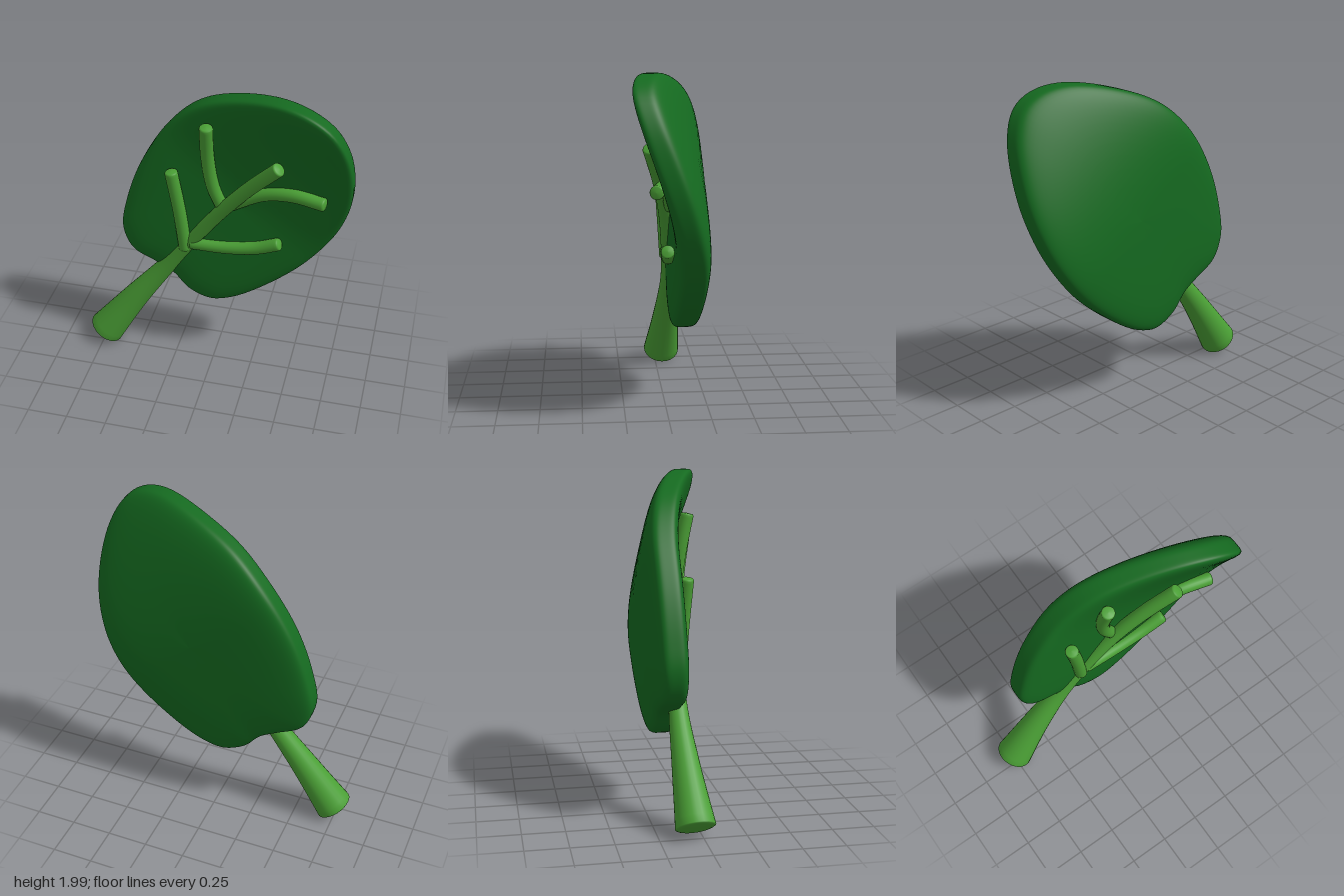
import * as THREE from 'three';

const leafMaterial = new THREE.MeshStandardMaterial({ color: 0x156a20 });
const stemMaterial = new THREE.MeshStandardMaterial({ color: 0x4a9f35 });

// Skin a row of closed rings with smooth normals
function loft(rings) {
  const n = rings[0].length;
  const index = [];
  for (let i = 0; i < rings.length - 1; i++) {
    for (let j = 0; j < n; j++) {
      const k = (j + 1) % n;
      const a = i * n + j, b = a + n, c = (i + 1) * n + k, d = i * n + k;
      index.push(a, b, c, a, c, d);
    }
  }
  const geometry = new THREE.BufferGeometry().setFromPoints(rings.flat());
  geometry.setIndex(index);
  geometry.computeVertexNormals();
  return geometry;
}

// Forward curl of the leaf: strong towards the tip, faint towards the foot
function curl(x, y) {
  const s = 0.62 * x + 0.78 * y - 1;
  return -0.14 + (s > 0 ? 0.35 : 0.03) * s * s;
}

function leafGeometry() {
  const outline = new THREE.CatmullRomCurve3([
    [-0.04, 0.43], [0.1, 0.46], [0.3, 0.58], [0.56, 0.81], [0.73, 1.06],
    [0.81, 1.3], [0.825, 1.52], [0.79, 1.74], [0.71, 1.89], [0.59, 1.97], [0.42, 2.0],
    [0.15, 1.95], [-0.1, 1.84], [-0.3, 1.65], [-0.47, 1.38], [-0.57, 1.1],
    [-0.6, 0.9], [-0.54, 0.75], [-0.4, 0.67], [-0.28, 0.6], [-0.18, 0.49],
  ].map(([x, y]) => new THREE.Vector3(x, y, 0)), true).getSpacedPoints(120).slice(0, 120);
  const cx = 0.15, cy = 1.2;

  // Pillow-shaped cross-section, front centre to rim to back centre: [scale, height]
  const front = Array.from({ length: 25 }, (_, i) => {
    const scale = 1 - (1 - i / 24) ** 4;
    return [scale, 0.105 * (1 - scale ** 5) ** 0.2];
  });
  const back = front.slice(0, -1).reverse().map(([scale, h]) => [scale, -h]);

  return loft([...front, ...back].map(([scale, h]) => outline.map((p) => {
    const x = cx + (p.x - cx) * scale, y = cy + (p.y - cy) * scale;
    return new THREE.Vector3(x, y, curl(x, y) + h);
  })));
}

// Round stalk along a path with softly bevelled flat ends
function stalk(points, radiusAt) {
  const curve = new THREE.CatmullRomCurve3(points);
  const steps = 40, sides = 24;
  const frames = curve.computeFrenetFrames(steps, false);
  // Rows as [step, radius scale, outward shift of the cap]
  const cap = [[0, 0.014], [0.8, 0.011], [0.93, 0.006]];
  const rows = cap.map(([scale, shift]) => [0, scale, -shift]);
  for (let i = 0; i <= steps; i++) rows.push([i, 1, 0]);
  rows.push(...cap.map(([scale, shift]) => [steps, scale, shift]).reverse());
  return loft(rows.map(([i, scale, shift]) => {
    const u = i / steps;
    const center = curve.getPointAt(u).addScaledVector(frames.tangents[i], shift);
    const r = radiusAt(u) * scale;
    return Array.from({ length: sides }, (_, j) => {
      const a = 2 * Math.PI * j / sides;
      return center.clone()
        .addScaledVector(frames.normals[i], r * Math.cos(a))
        .addScaledVector(frames.binormals[i], -r * Math.sin(a));
    });
  }));
}

export function createModel() {
  const model = new THREE.Group();
  model.name = 'leaf';
  const add = (name, geometry, material) => {
    const mesh = new THREE.Mesh(geometry, material);
    mesh.name = name;
    model.add(mesh);
  };

  add('blade', leafGeometry(), leafMaterial);

  // Stem, flared at the foot
  const stemPath = [
    [-0.738, 0.075, -0.045], [-0.53, 0.37, -0.06], [-0.32, 0.65, -0.065],
    [-0.15, 0.89, -0.045], [0.04, 1.15, -0.015], [0.22, 1.375, 0.035], [0.4, 1.575, 0.1],
  ].map((p) => new THREE.Vector3(...p));
  add('stem', stalk(stemPath, (u) => 0.043 + 0.074 * Math.pow(Math.max(0, 1 - u / 0.55), 1.5)), stemMaterial);

  // Side veins that rise out of the stem and lie on the front of the blade
  const veins = {
    lowerRightVein: [[-0.185, 0.84], [-0.215, 1.12], [-0.255, 1.395]],
    upperRightVein: [[0.05, 1.17], [-0.01, 1.33], [-0.035, 1.53], [-0.033, 1.75]],
    lowerLeftVein: [[-0.14, 0.88], [0.08, 0.89], [0.26, 0.925], [0.4, 0.985]],
    upperLeftVein: [[0.1, 1.2], [0.3, 1.32], [0.48, 1.368], [0.665, 1.368]],
  };
  for (const [name, path] of Object.entries(veins)) {
    const points = path.map(([x, y], i) => (
      new THREE.Vector3(x, y, curl(x, y) + 0.1 + 0.04 * i / (path.length - 1))
    ));
    add(name, stalk(points, () => 0.04), stemMaterial);
  }
  return model;
}
